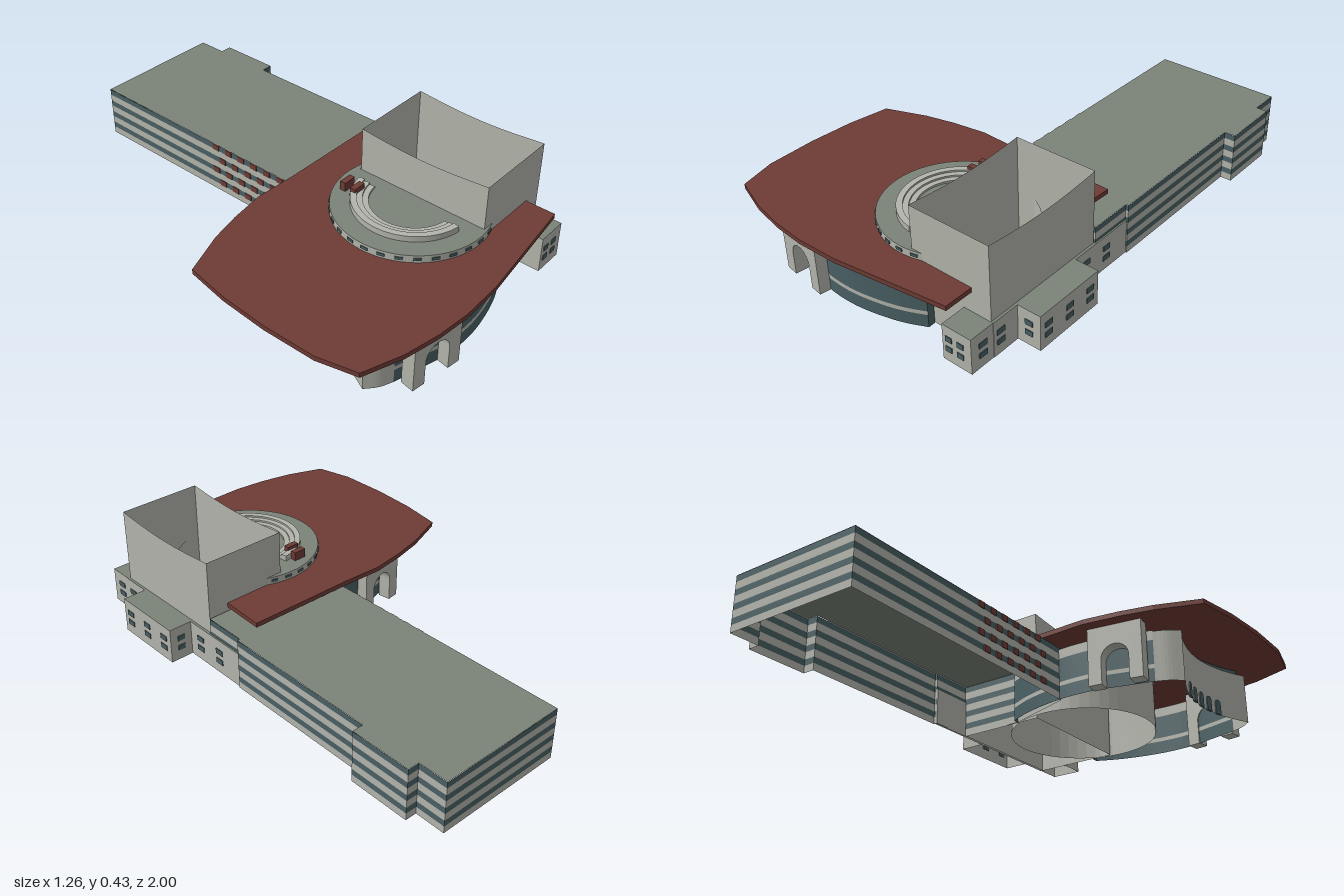
import * as THREE from 'three';

const mat = (name, color) => new THREE.MeshStandardMaterial({ name, color, side: THREE.DoubleSide });

export function createModel() {
  const wall = mat('pale wall', 0xb3b5ac), roofGrey = mat('grey roof', 0x7b8378);
  const red = mat('red roof', 0x6e3b35), glass = mat('dark glass', 0x4a6064);
  const model = new THREE.Group();
  model.name = 'building';
  // The whole plan is drawn square, then turned on its site
  const g = new THREE.Group();
  g.name = 'turnedPlan';
  g.rotation.y = THREE.MathUtils.degToRad(20);
  model.add(g);

  const MID = 0.467; // axis of symmetry of the round hall
  const flip = pts => pts.map(([a, b]) => [a, 2 * MID - b]);
  const add = (name, geo, m, parent = g) => {
    const mesh = new THREE.Mesh(geo, m);
    mesh.name = name;
    parent.add(mesh);
    return mesh;
  };
  const block = (name, w, h, d, x, y, z, m, ry = 0) => {
    const mesh = add(name, new THREE.BoxGeometry(w, h, d), m);
    mesh.position.set(x, y, z);
    mesh.rotation.y = ry;
    return mesh;
  };
  // Upright sheet following a plan path; its top may be a function of 0..1
  const ribbon = (name, pts, y0, y1, m) => {
    const top = typeof y1 === 'function' ? y1 : () => y1;
    const pos = [], n = pts.length - 1;
    for (let i = 0; i < n; i++) {
      const [a, b] = pts[i], [c, d] = pts[i + 1], h = top(i / n), k = top((i + 1) / n);
      pos.push(a, y0, b, c, y0, d, c, k, d, a, y0, b, c, k, d, a, h, b);
    }
    const geo = new THREE.BufferGeometry();
    geo.setAttribute('position', new THREE.Float32BufferAttribute(pos, 3));
    geo.computeVertexNormals();
    return add(name, geo, m);
  };
  const planShape = pts => new THREE.Shape(pts.map(([a, b]) => new THREE.Vector2(a, -b)));
  const slab = (name, pts, y0, h, m) => {
    const geo = new THREE.ExtrudeGeometry(planShape(pts), { depth: h, bevelEnabled: false });
    return add(name, geo.rotateX(-Math.PI / 2).translate(0, y0, 0), m);
  };
  const cap = (name, pts, y, m) =>
    add(name, new THREE.ShapeGeometry(planShape(pts)).rotateX(-Math.PI / 2).translate(0, y, 0), m);
  const closed = pts => [...pts, pts[0]];
  const smooth = (pts, n) => new THREE.CatmullRomCurve3(pts.map(([a, b]) => new THREE.Vector3(a, 0, b)))
    .getPoints(n).map(p => [p.x, p.z]);
  const C = [-0.024, 0.46], R = 0.275;
  const arc = (r, from, to, n = 48) => Array.from({ length: n + 1 }, (_, i) => {
    const t = from + (to - from) * i / n;
    return [C[0] + r * Math.cos(t), C[1] + r * Math.sin(t)];
  });

  // Long office wing: hollow, with alternating bands of wall and glass
  const wing = [[-0.15, -0.937], [0.361, -0.937], [0.361, -0.823], [0.405, -0.823], [0.405, -0.585],
    [0.361, -0.585], [0.361, 0.035], [0.35, 0.035], [0.35, 0.205], [0.1, 0.205], [-0.15, 0.12]];
  for (let i = 0; i < 4; i++) {
    ribbon('wingWallBand', closed(wing), i * 0.05, i * 0.05 + 0.027, wall);
    ribbon('wingWindowBand', closed(wing), i * 0.05 + 0.027, i * 0.05 + 0.05, glass);
    // staggered red panels near the hall
    for (let j = 0; j < 6; j++)
      block('redPanel', 0.006, 0.023, 0.03, -0.15, i * 0.05 + 0.0385, 0.01 - j * 0.064 - (i % 2) * 0.032, red);
  }
  cap('wingRoof', wing, 0.201, roofGrey);

  // Sweeping red roof around the hall
  const t0 = Math.asin((0.721 - C[1]) / R), t1 = 2 * Math.PI - Math.asin((C[1] - 0.207) / R);
  slab('redRoof', [[0.274, 0.036], [-0.15, 0.033], [-0.308, 0.026], [-0.443, 0.046], [-0.559, 0.073],
    [-0.719, 0.132], [-0.745, 0.293], [-0.756, 0.47], [-0.752, 0.663], [-0.718, 0.803], [-0.577, 0.854],
    [-0.448, 0.88], [-0.323, 0.892], [-0.163, 0.888], [0.27, 0.833], [0.27, 0.721],
    ...arc(R, t0, t1), [0.267, 0.207]], 0.214, 0.018, red);

  // Round hall: open drum, raised disc with small rim windows
  ribbon('hallDrum', arc(R, 0, Math.PI * 2), 0, 0.205, wall);
  const disc = [...arc(R, t0, t1), [0.015, 0.207], [0.015, 0.721]];
  ribbon('hallRim', arc(R, t0, t1), 0.2, 0.26, wall);
  cap('hallRoof', disc, 0.26, roofGrey);
  for (let i = 0; i < 18; i++) {
    const t = t0 + (t1 - t0) * (i + 0.5) / 18;
    block('rimWindow', 0.006, 0.01, 0.026, C[0] + R * Math.cos(t), 0.246, C[1] + R * Math.sin(t), glass, -t);
  }

  // Stepped half ring on the disc
  [[0.145, 0.165, 0.268], [0.165, 0.185, 0.275], [0.185, 0.207, 0.282]].forEach(([r0, r1, y]) => {
    const s = 1.69, e = 2 * Math.PI - 1.69;
    slab('ringStep', [...arc(r1, s, e), ...arc(r0, e, s)], 0.26, y - 0.26, wall);
  });
  for (const [a, b] of [[-0.099, 0.243], [-0.106, 0.291]])
    block('redRoofUnit', 0.05, 0.034, 0.022, a, 0.278, b, red);

  // Tall open-topped tower with dipped side walls
  const dip = t => 0.425 - 0.016 * Math.sin(Math.PI * t);
  for (const a of [0.017, 0.346])
    ribbon('towerSideWall', Array.from({ length: 17 }, (_, i) => [a, 0.21 + 0.51 * i / 16]), 0, dip, wall);
  for (const b of [0.21, 0.72])
    ribbon('towerEndWall', [[0.017, b], [0.346, b]], 0, 0.425, wall);

  // Curved glass fronts, solid corners and arched portals on both sides
  const front = smooth([[-0.50, 0.765], [-0.39, 0.795], [-0.292, 0.82], [-0.18, 0.825], [-0.082, 0.812],
    [0.02, 0.785], [0.1, 0.75]], 28);
  const corner = smooth([[-0.585, 0.712], [-0.545, 0.745], [-0.50, 0.765]], 8);
  const portal = new THREE.Shape();
  portal.moveTo(-0.1, 0).lineTo(-0.051, 0).lineTo(-0.051, 0.09);
  portal.absarc(0, 0.09, 0.051, Math.PI, 0, true);
  portal.lineTo(0.051, 0).lineTo(0.1, 0).lineTo(0.1, 0.214).lineTo(-0.1, 0.214);
  for (const side of [1, -1]) {
    const put = pts => side > 0 ? pts : flip(pts);
    ribbon('lowerGlass', put(front), 0, 0.05, glass);
    ribbon('glassBand', put(front), 0.05, 0.065, wall);
    ribbon('upperGlass', put(front), 0.065, 0.155, glass);
    ribbon('frontParapet', put(front), 0.155, 0.192, wall);
    ribbon('glassReturn', put([[0.1, 0.75], [0.1, 0.722]]), 0, 0.155, glass);
    ribbon('cornerWall', put(corner), 0, 0.188, wall);
    const geo = new THREE.ExtrudeGeometry(portal, { depth: 0.05, bevelEnabled: false, curveSegments: 16 });
    const p = add('archedPortal', geo.translate(0, 0, -0.025), wall);
    p.position.set(-0.39, 0, put([[0, 0.822]])[0][1]);
    p.rotation.y = -0.15 * side;
  }

  // Hollow-curved end wall with a row of small arches and a glass strip above
  const bend = b => -0.585 + 0.065 * (1 - ((b - MID) / 0.245) ** 2);
  const endPath = Array.from({ length: 21 }, (_, i) => 0.222 + 0.49 * i / 20).map(b => [bend(b), b]);
  ribbon('endWall', endPath, 0, 0.186, wall);
  ribbon('clerestory', endPath.map(([a, b]) => [a + 0.03, b]), 0.17, 0.214, glass);
  const arch = new THREE.Shape();
  arch.moveTo(-0.014, 0).lineTo(0.014, 0).lineTo(0.014, 0.042);
  arch.absarc(0, 0.042, 0.014, 0, Math.PI, false);
  for (let i = -2; i <= 2; i++) {
    const b = MID + i * 0.053;
    const geo = new THREE.ExtrudeGeometry(arch, { depth: 0.008, bevelEnabled: false });
    const m = add('smallArch', geo.translate(0, 0, -0.004), glass);
    m.position.set(bend(b), 0, b);
    m.rotation.y = Math.atan2(-1, -0.13 * (b - MID) / 0.06);
  }

  // Low annex along the tower
  const rect = (a0, b0, a1, b1) => [[a0, b0], [a1, b0], [a1, b1], [a0, b1]];
  for (const r of [rect(0.346, 0.035, 0.356, 0.722), rect(0.235, 0.722, 0.354, 0.822),
    rect(0.356, 0.318, 0.448, 0.61)]) {
    ribbon('annexWall', closed(r), 0, 0.138, wall);
    cap('annexRoof', r, 0.138, roofGrey);
  }
  for (const y of [0.05, 0.09]) {
    for (const b of [0.15, 0.26, 0.69, 0.77])
      block('annexWindow', 0.006, 0.02, 0.036, b > 0.722 ? 0.354 : 0.356, y, b, glass);
    for (const b of [0.36, 0.465, 0.57]) block('bayWindow', 0.006, 0.02, 0.036, 0.448, y, b, glass);
    for (const a of [0.262, 0.31]) block('annexEndWindow', 0.026, 0.02, 0.006, a, y, 0.822, glass);
    for (const b of [0.318, 0.61]) block('bayEndWindow', 0.03, 0.02, 0.006, 0.402, y, b, glass);
  }
  return model;
}
